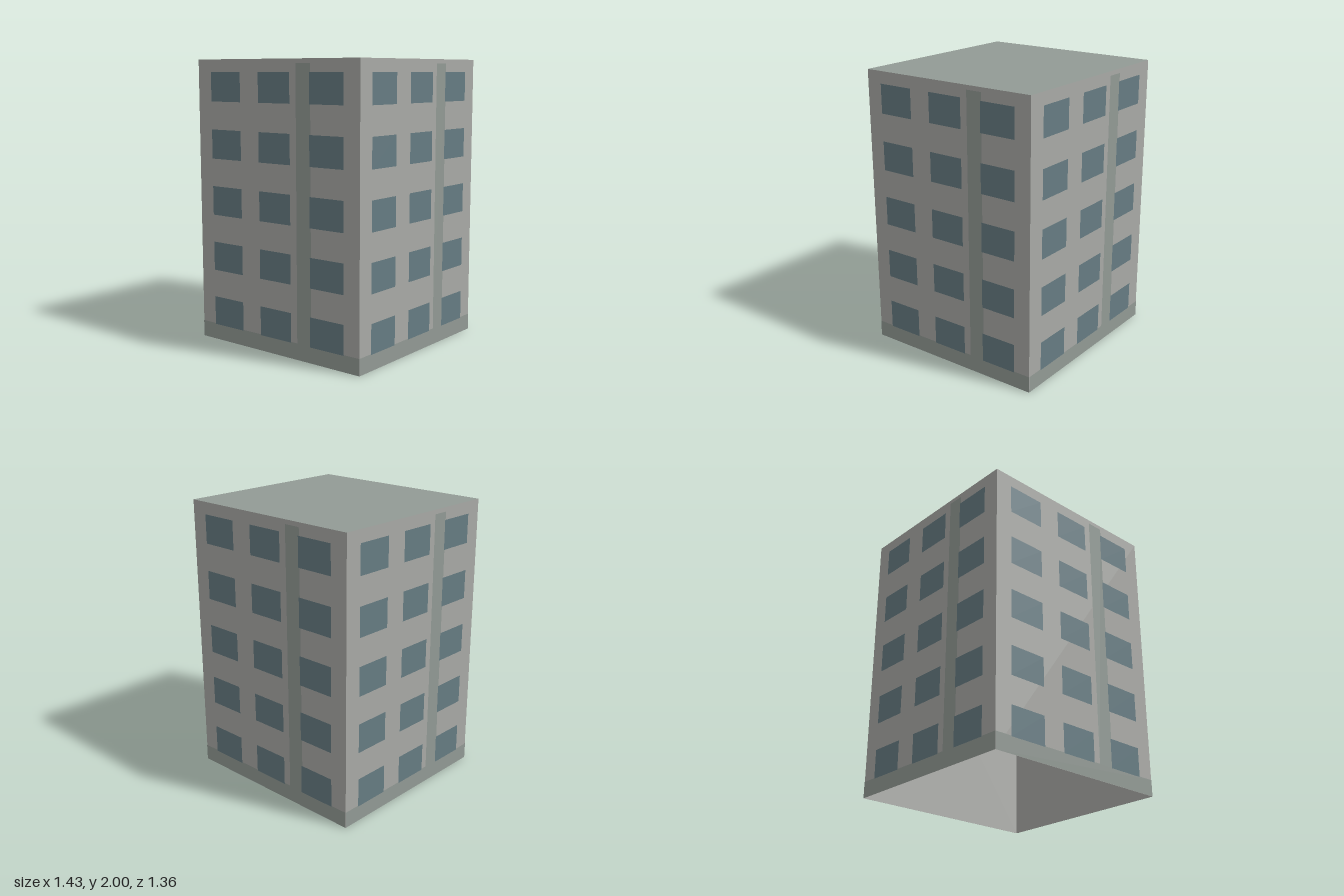
import * as THREE from 'three';

const HALF_X = 0.712, HALF_Z = 0.676, HEIGHT = 2;

const paint = (color) => new THREE.MeshStandardMaterial({ color, side: THREE.DoubleSide });
const wallMat = paint(0xa9aaa6), trimMat = paint(0x929a95), glassMat = paint(0x667c83);

// Upright rectangle between x0..x1 and y0..y1 at depth z
function panel(name, x0, x1, y0, y1, z, material) {
  const mesh = new THREE.Mesh(new THREE.PlaneGeometry(x1 - x0, y1 - y0), material);
  mesh.position.set((x0 + x1) / 2, (y0 + y1) / 2, z);
  mesh.name = name;
  return mesh;
}

// One wall with plinth, vertical strip and a grid of windows; h is its half width
function facade(name, h, depth) {
  const group = new THREE.Group();
  group.name = name;
  group.add(panel('wall', -h, h, 0, HEIGHT, depth, wallMat));
  group.add(panel('plinth', -h, h, 0, 0.115, depth + 0.002, trimMat));
  group.add(panel('verticalStrip', 0.27 * h, 0.442 * h, 0.115, 1.97, depth + 0.002, trimMat));
  const halfWindow = 0.196 * h;
  for (let row = 0; row < 5; row++) {
    for (let col = -1; col <= 1; col++) {
      const x = col * 0.627 * h, y = 0.11 + row * 0.4;
      group.add(panel('window', x - halfWindow, x + halfWindow, y, y + 0.205, depth + 0.004, glassMat));
    }
  }
  return group;
}

export function createModel() {
  const model = new THREE.Group();
  model.name = 'apartmentBlock';

  // Four facades, each a quarter turn on from the last
  ['frontFacade', 'leftFacade', 'backFacade', 'rightFacade'].forEach((name, i) => {
    const side = i % 2 === 1;
    const f = facade(name, side ? HALF_Z : HALF_X, side ? HALF_X : HALF_Z);
    f.rotation.y = i * Math.PI / 2;
    model.add(f);
  });

  // Flat roof; the underside stays open
  const roof = new THREE.Mesh(new THREE.PlaneGeometry(2 * HALF_X, 2 * HALF_Z), trimMat);
  roof.rotation.x = -Math.PI / 2;
  roof.position.y = HEIGHT;
  roof.name = 'roof';
  model.add(roof);
  return model;
}
